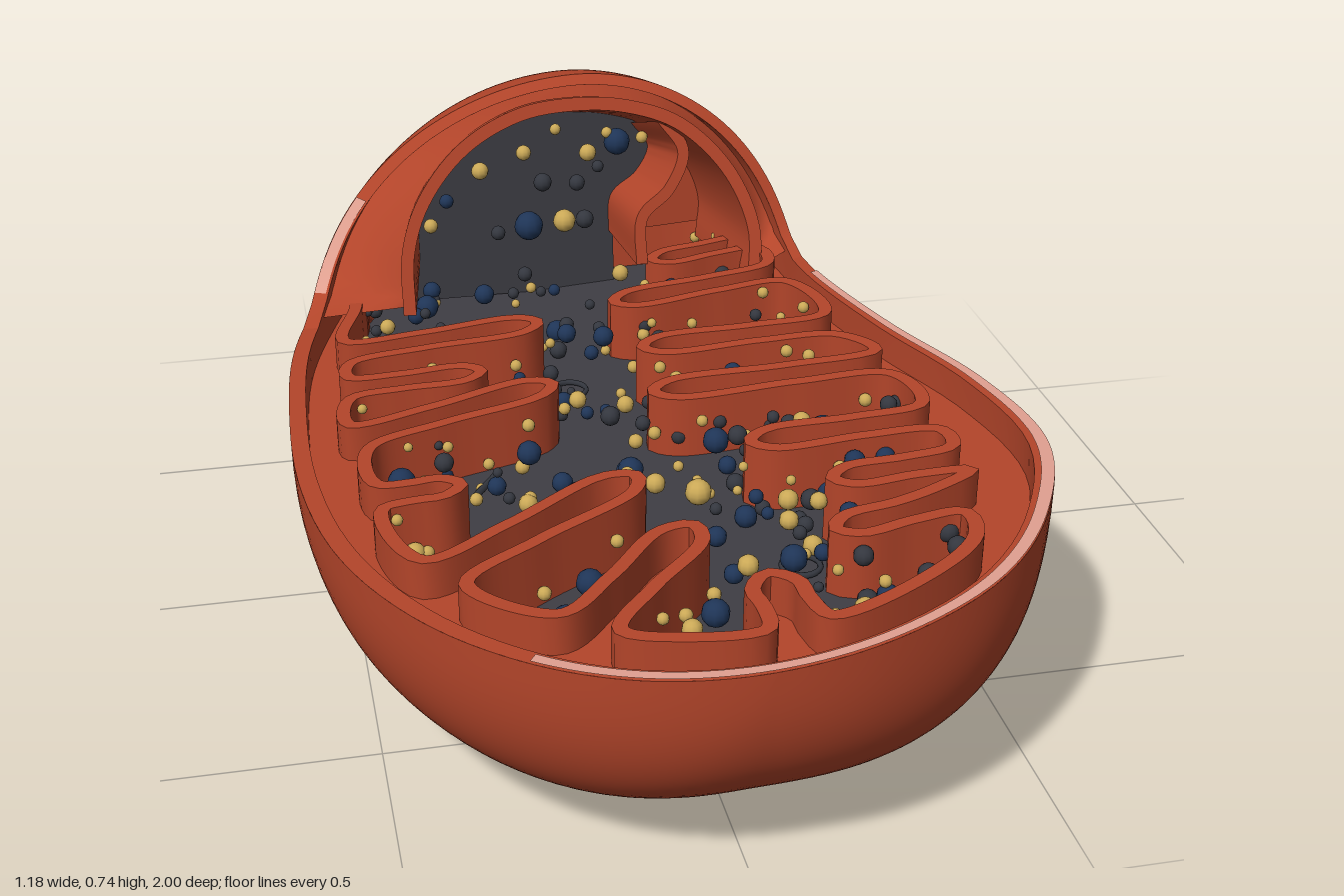
import * as THREE from 'three';
import { toCreasedNormals } from 'three/addons/utils/BufferGeometryUtils.js';

const mat = (name, color, side = THREE.FrontSide) => {
  const m = new THREE.MeshStandardMaterial({ color, side });
  m.name = name;
  return m;
};
const { lerp, clamp } = THREE.MathUtils;
const PI = Math.PI;
const V2 = (x, y) => new THREE.Vector2(x, y);

// Half widths of the bean at 15 degree steps from front tip to back tip,
// mirrored past both tips so the ends stay round
const width = (a) => {
  const s = new THREE.SplineCurve([-a[1], ...a, -a[11]].map((v, i) => V2(i, v)));
  return (t) => Math.max(0, s.getPoint((1 + t * 12) / 14).y);
};
const wRight = width([0, .19, .37, .50, .58, .56, .485, .43, .41, .345, .262, .14, 0]);
const wLeft = width([0, .175, .33, .46, .55, .59, .59, .565, .495, .405, .285, .145, 0]);
// Height of the tilted cut
const rimY = (x, z) => .4 + .065 * x + .025 * z;
const spow = (v, p) => Math.sign(v) * Math.pow(Math.abs(v), p);

// Point on the bean: u runs front to back, a goes round the section, k insets it
function body(u, a, k = 1) {
  const t = clamp(u / PI, 0, 1), z = Math.cos(u) * (k < 1 ? (1 + k) / 2 : 1);
  const c = Math.cos(a), s = Math.sin(a), top = s > 0;
  const p = top ? 1 : 2 / (c > 0 ? 2.9 : 2.6);
  const x = spow(c, p) * (c > 0 ? wRight : wLeft)(t) * k;
  const e = Math.max(0, 1 - Math.cos(u) ** 4);
  const h = top ? .375 * Math.sqrt(e) : (.39 + .01 * z + .04 * Math.max(x, 0)) * Math.pow(e, .385);
  return [x, rimY(x, z) + spow(s, p) * h * k, z];
}

// Surface from a rule f(i, j) with i, j in 0..1
function grid(f, nu, nv, crease = 0) {
  const pos = [], idx = [];
  for (let i = 0; i <= nu; i++) for (let j = 0; j <= nv; j++) pos.push(...f(i / nu, j / nv));
  for (let i = 0; i < nu; i++) for (let j = 0; j < nv; j++) {
    const a = i * (nv + 1) + j, b = a + nv + 1;
    idx.push(a, b, a + 1, b, b + 1, a + 1);
  }
  const g = new THREE.BufferGeometry();
  g.setAttribute('position', new THREE.Float32BufferAttribute(pos, 3));
  g.setIndex(idx);
  if (crease) return toCreasedNormals(g, crease);
  g.computeVertexNormals();
  return g;
}

// Upright membrane following a list of plan points
function ribbon(pts, half, place) {
  const n = pts.length - 1, closed = pts[0].distanceTo(pts[n]) < 1e-4;
  return grid((i, j) => {
    const k = Math.round(i * n), c = Math.round(j * 4) % 4;
    const p = pts[k], a = pts[k > 0 ? k - 1 : closed ? n - 1 : 0], b = pts[k < n ? k + 1 : closed ? 1 : n];
    const d = b.clone().sub(a).normalize(), s = c === 0 || c === 3 ? half : -half;
    return place(p.x - d.y * s, p.y + d.x * s, c < 2);
  }, n, 4, 0.7);
}

function smooth(list, n, closed = false) {
  const c = new THREE.CatmullRomCurve3(list.map(([x, y]) => new THREE.Vector3(x, y, 0)), closed, 'centripetal');
  return c.getSpacedPoints(n).map((p) => V2(p.x, p.y));
}

// Folds of the inner membrane: base x, base z, tip x, tip z, half width
const folds = [
  [-.47, -.21, -.12, -.22, .034], [-.48, -.06, -.25, -.05, .03], [-.48, .13, -.14, .04, .034],
  [-.47, .35, -.34, .35, .03], [-.40, .61, -.07, .41, .036], [-.22, .81, -.02, .59, .036],
  [.06, .90, .05, .76, .034], [.37, .64, .18, .67, .03], [.43, .52, .22, .52, .03],
  [.43, .37, .13, .36, .034], [.42, .15, .02, .13, .034], [.38, -.03, .04, -.05, .034],
  [.35, -.29, .03, -.26, .034], [.34, -.46, .14, -.43, .03],
];

function membranePath() {
  const pts = [[-.38, -.64], [-.42, -.52], [-.44, -.40]];
  folds.forEach(([bx, bz, tx, tz, h], i) => {
    const l = Math.hypot(tx - bx, tz - bz), dx = (tx - bx) / l, dz = (tz - bz) / l;
    const at = (along, side) => pts.push([bx + dx * along + dz * side, bz + dz * along - dx * side]);
    at(0, h * 1.4); at(l * .4, h); at(l - h, h); at(l, 0); at(l - h, -h); at(l * .4, -h); at(0, -h * 1.4);
    if (i === 5) pts.push([-.1, .89]);
    if (i === 6) pts.push([.28, .83], [.37, .75]);
  });
  pts.push([.31, -.56], [.29, -.64]);
  return smooth(pts, 640, true);
}

function inside(poly, x, y) {
  let r = false;
  for (let i = 0, j = poly.length - 1; i < poly.length; j = i++) {
    const a = poly[i], b = poly[j];
    if ((a.y > y) !== (b.y > y) && x < ((b.x - a.x) * (y - a.y)) / (b.y - a.y) + a.x) r = !r;
  }
  return r;
}

export function createModel() {
  const red = mat('membraneRed', 0xb3452a, THREE.DoubleSide);
  const pale = mat('rimPale', 0xe0a090, THREE.DoubleSide);
  const grey = mat('matrixGrey', 0x3e3d44, THREE.DoubleSide);
  const blue = mat('granuleBlue', 0x1f3557);
  const gold = mat('granuleGold', 0xcba957);
  const dark = mat('granuleDark', 0x34373f);
  const model = new THREE.Group();
  const add = (name, geo, m, parent = model) => {
    const mesh = new THREE.Mesh(geo, m);
    mesh.name = name;
    parent.add(mesh);
    return mesh;
  };
  const K = .95;

  // Outer shell: open bowl, then the domed cap over the back end
  const bowl = (k) => (i, j) => body(i * PI, -j * PI, k);
  add('outerBowl', grid(bowl(1), 96, 64), red);
  add('innerBowl', grid(bowl(K), 64, 40), red);
  const rimU = (i) => (i < .5 ? [i * 2 * PI, 0] : [(2 - i * 2) * PI, -PI]);
  add('bowlRim', grid((i, j) => body(...rimU(i), lerp(1, K, j)), 128, 1), red);
  const cutU = (a) => Math.acos(-.36 - .23 * Math.pow(Math.max(0, Math.sin(a)), .42));
  const cap = (k) => (i, j) => body(lerp(PI, cutU(j * PI), i), j * PI, k);
  add('outerCap', grid(cap(1), 48, 64), red);
  add('innerCap', grid(cap(K), 32, 48), red);
  add('capRim', grid((i, j) => cap(lerp(1, K, j))(1, i), 64, 1), red);

  // Pale edge along the front and left of the bowl rim and low on the cap rim
  add('paleBowlEdge', grid((i, j) => {
    const u = lerp(-.5, 1.85, i);
    const [x, y, z] = body(Math.abs(u), u < 0 ? -PI : 0, lerp(.999, .966, j));
    return [x, y + .004, z];
  }, 80, 1), pale);
  add('paleCapEdge', grid((i, j) => {
    const [x, y, z] = cap(lerp(1, .96, j))(1, lerp(.83, .97, i));
    return [x, y, z + .004];
  }, 12, 1), pale);

  // Matrix floor and the filled space around the inner membrane
  const path = membranePath();
  const outline = (k) => {
    const o = [];
    for (let i = 0; i < 120; i++) {
      const [x, , z] = body(...rimU(i / 120));
      o.push(V2(x * k, z * k));
    }
    return new THREE.Shape(o);
  };
  const layDown = (g, drop) => {
    g.rotateX(PI / 2);
    const p = g.attributes.position;
    for (let i = 0; i < p.count; i++) p.setY(i, p.getY(i) + rimY(p.getX(i), p.getZ(i)) - drop);
    g.computeVertexNormals();
    return g;
  };
  add('matrixFloor', layDown(new THREE.ShapeGeometry(outline(.9)), .1), grey);
  const fill = outline(.955);
  fill.holes.push(new THREE.Path(path.slice(0, -1)));
  add('intermembraneSpace', layDown(new THREE.ExtrudeGeometry(fill, { depth: .03, bevelEnabled: false }), .055), red);
  add('foldedMembrane', ribbon(path, .012, (x, z, top) => [x, rimY(x, z) + (top ? .008 : -.12), z]), red);

  // Arched membrane tapering back to the matrix wall inside the cap
  const dome = [];
  for (let i = 0; i <= 40; i++) {
    const [x, y] = body(Math.acos(-.615), (i / 40) * PI, .97);
    dome.push(V2(x, y));
  }
  add('capBackWall', new THREE.ShapeGeometry(new THREE.Shape(dome)).translate(0, 0, -.615), red);
  const left = [[-.34, .36], [-.335, .47], [-.3, .56], [-.22, .65], [-.11, .705], [0, .718], [.1, .708]];
  const fold = [[.17, .675], [.21, .61], [.18, .54], [.125, .49], [.12, .40]];
  const shrink = (x, y) => [-.05 + (x + .05) * .87, y > .4 ? .4 + (y - .4) * .83 : y];
  const frontZ = (y) => -.385 - .3 * (y - .42);
  const archPlace = (x, y, front) => front ? [x, y, frontZ(y)] : [...shrink(x, y), -.612];
  const arch = smooth([...left, [.2, .67], [.29, .58], [.335, .47], [.33, .37]], 64);
  add('capArch', ribbon(arch, .012, archPlace), red);
  const foldPlace = (x, y, front) => front ? [x, y, -.43 - .22 * (y - .42)] : [...shrink(x, y), -.612];
  add('capFold', ribbon(smooth(fold, 30), .011, foldPlace), red);
  // Skirt joining the arch to the inside of the cap
  add('capSkirt', grid((i, j) => {
    const p = arch[Math.round(i * 64)], a = PI * (1 - i);
    const q = body(cutU(a) + .05, a, K);
    return [lerp(p.x, q[0], j), lerp(p.y, q[1], j), lerp(frontZ(p.y) - .04, q[2], j)];
  }, 64, 4), red);
  const panel = smooth([...left, ...fold], 60).map((p) => V2(...shrink(p.x, p.y)));
  panel.push(V2(.1, .28), V2(-.3, .28));
  add('matrixWall', new THREE.ShapeGeometry(new THREE.Shape(panel)).translate(0, 0, -.605), grey);

  // Granules scattered over the matrix
  let seed = 7;
  const rnd = () => (seed = (seed * 16807) % 2147483647) / 2147483647;
  const granules = new THREE.Group();
  granules.name = 'granules';
  model.add(granules);
  const ball = new THREE.SphereGeometry(1, 10, 8);
  const put = (name, m, r, x, y, z) => {
    const b = add(name, ball, m, granules);
    b.scale.setScalar(r);
    b.position.set(x, y, z);
  };
  const kinds = [['darkGranule', dark, .013, 90], ['blueGranule', blue, .017, 55], ['goldGranule', gold, .013, 55]];
  for (const [name, m, r, count] of kinds) {
    for (let n = 0; n < count;) {
      const x = lerp(-.46, .46, rnd()), z = lerp(-.56, .88, rnd());
      if (!inside(path, x, z)) continue;
      put(name, m, r * lerp(.6, 1.35, rnd()), x, rimY(x, z) - .09 + .07 * rnd(), z);
      n++;
    }
  }
  const large = [
    [-.26, -.11, .024, gold], [.04, .38, .022, gold], [-.02, .33, .017, gold], [-.23, .33, .016, gold],
    [-.42, .19, .024, blue], [.29, .24, .026, blue], [-.18, .60, .022, blue], [-.02, .74, .022, blue],
    [.2, .81, .02, blue], [-.36, -.35, .022, blue],
  ];
  for (const [x, z, r, m] of large) put('largeGranule', m, r, x, rimY(x, z) - .06, z);
  // Small beads lining the folds
  for (let i = 4; i < path.length - 6; i += 4) {
    const d = path[i + 1].clone().sub(path[i - 1]).normalize();
    const x = path[i].x + d.y * .024, z = path[i].y - d.x * .024;
    if (inside(path, x, z) && rnd() < .8) put('wallBead', gold, .008 + .004 * rnd(), x, rimY(x, z) - .085 + .08 * rnd(), z);
  }
  // Granules on the matrix wall in the cap
  const wall = [
    [-.09, .47, .028, blue], [.1, .60, .026, blue], [-.24, .505, .014, blue], [-.17, .555, .017, gold],
    [-.085, .59, .015, gold], [.04, .585, .017, gold], [-.28, .485, .014, gold], [.15, .605, .012, gold],
    [-.05, .53, .018, dark], [-.02, .475, .022, gold], [.02, .52, .016, dark], [.06, .555, .012, dark],
    [-.02, .63, .011, gold], [.08, .62, .011, gold], [.02, .475, .018, dark], [-.15, .46, .014, dark],
  ];
  wall.forEach(([x, y, r, m], i) => put('wallGranule', m, r, x, y, -.585 + (y < .5 ? .09 : .01 * (i % 3))));

  // Loops of genetic material and short filaments
  for (const [x, z] of [[.15, .6], [-.08, -.12]]) {
    const ring = add('matrixRing', new THREE.TorusGeometry(.03, .005, 6, 20), dark);
    ring.rotation.x = PI / 2;
    ring.position.set(x, rimY(x, z) - .092, z);
  }
  for (const [x, z, r] of [[-.28, .2, .6], [-.3, -.36, -.5], [.1, -.36, .9]]) {
    const rod = add('filament', new THREE.CylinderGeometry(.006, .006, .1, 6), dark);
    rod.rotation.set(PI / 2, 0, r);
    rod.position.set(x, rimY(x, z) - .085, z);
  }
  return model;
}
